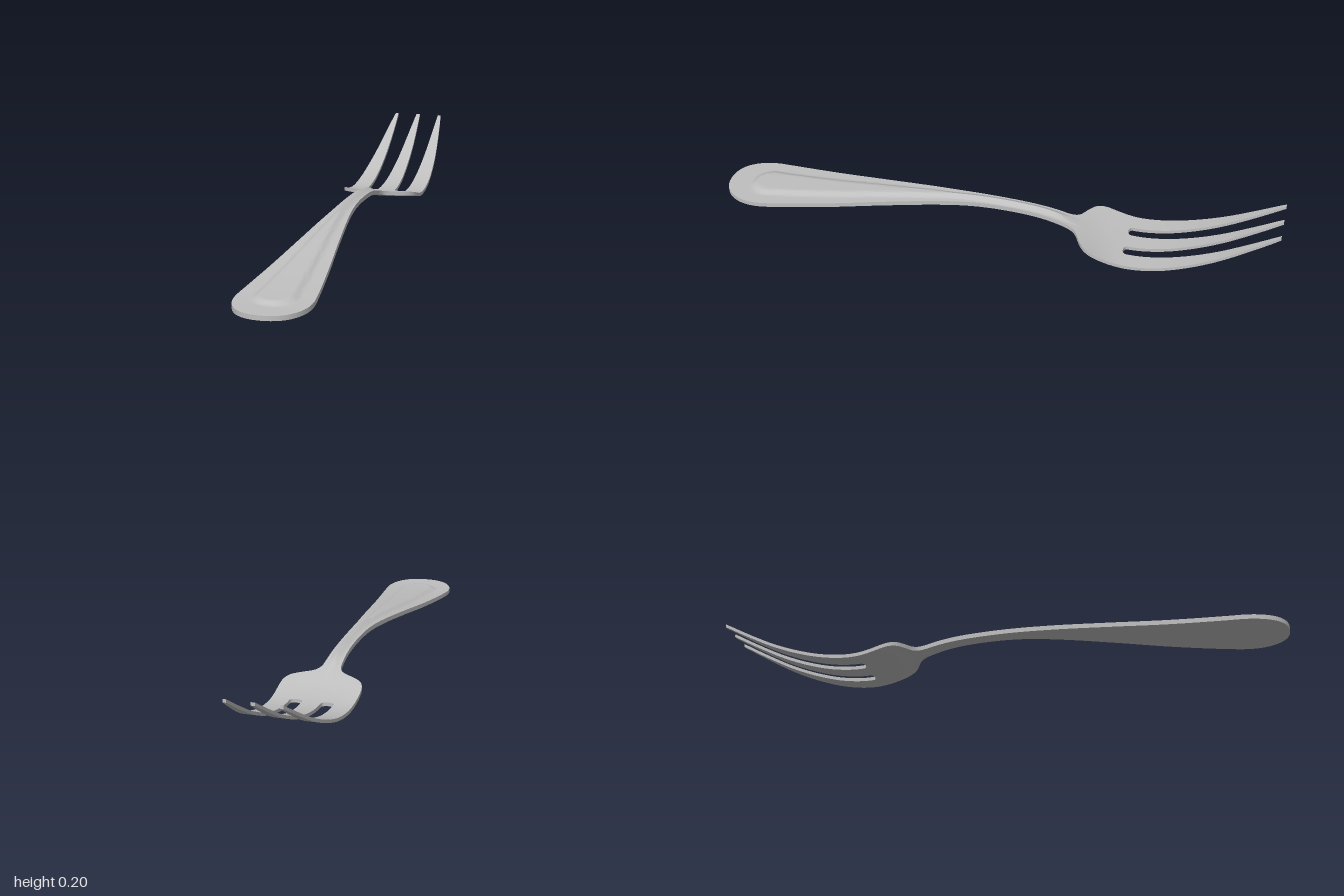
import * as THREE from 'three';
import { toCreasedNormals } from 'three/addons/utils/BufferGeometryUtils.js';

const SLOT_Z = -0.472; // closed end of the slots between the tines

// Smooth interpolation through [position, value] pairs, positions ascending
function interp(table, x) {
  const n = table.length;
  if (x <= table[0][0]) return table[0][1];
  if (x >= table[n - 1][0]) return table[n - 1][1];
  let i = 0;
  while (x > table[i + 1][0]) i++;
  const slope = (k) => {
    const a = table[Math.max(k - 1, 0)], b = table[Math.min(k + 1, n - 1)];
    return (b[1] - a[1]) / (b[0] - a[0]);
  };
  const [x0, y0] = table[i], [x1, y1] = table[i + 1];
  const h = x1 - x0, t = (x - x0) / h, t2 = t * t, t3 = t2 * t;
  return y0 * (2 * t3 - 3 * t2 + 1) + y1 * (3 * t2 - 2 * t3)
    + h * (slope(i) * (t3 - 2 * t2 + t) + slope(i + 1) * (t3 - t2));
}

// Height of the metal's mid-surface along the length
const HEIGHT = [[-1, 0.198], [-0.9, 0.14], [-0.8, 0.087], [-0.7, 0.046], [-0.6, 0.018],
  [-0.5, 0.008], [-0.4, 0.02], [-0.3, 0.051], [-0.2, 0.078], [-0.1, 0.09], [0.05, 0.093],
  [0.2, 0.083], [0.4, 0.06], [0.6, 0.035], [0.8, 0.016], [0.9, 0.011], [1, 0.01]];
const THICKNESS = [[-1, 0.011], [-0.6, 0.012], [-0.35, 0.014], [-0.2, 0.016], [1, 0.016]];

// Raised teardrop on the handle, running into the crown of the neck
function emboss(x, z) {
  const half = THREE.MathUtils.lerp(0.022, 0.075, THREE.MathUtils.clamp((z - 0.15) / 0.695, 0, 1));
  const d = half - Math.hypot(x, Math.max(z - 0.845, 0));
  return 0.011 * THREE.MathUtils.smoothstep(d, 0, 0.026) * THREE.MathUtils.smoothstep(z, -0.34, -0.2);
}

function surface(x, z, side) {
  const bowl = 0.01 * (x / 0.14) ** 2 * Math.exp(-(((z + 0.36) / 0.08) ** 2));
  const lift = emboss(x, z) * (side > 0 ? 1 : 0.5);
  return interp(HEIGHT, z) + bowl + lift + side * interp(THICKNESS, z) / 2;
}

// Closed strip of metal through stations [z, xMin, xMax], ordered from front to back
function strip(stations, columns, capStart, capEnd) {
  const positions = [], index = [], n = 2 * (columns + 1);
  for (const [z, x0, x1] of stations) {
    for (let k = 0; k < n; k++) {
      const top = k <= columns;
      const x = THREE.MathUtils.lerp(x0, x1, (top ? k : n - 1 - k) / columns);
      positions.push(x, surface(x, z, top ? 1 : -1), z);
    }
  }
  for (let i = 0; i < stations.length - 1; i++) {
    for (let k = 0; k < n; k++) {
      const a = i * n + k, b = i * n + (k + 1) % n;
      index.push(a, b, a + n, b, b + n, a + n);
    }
  }
  const last = (stations.length - 1) * n;
  for (let k = 0; k < columns; k++) {
    const a = k, b = k + 1, c = n - 2 - k, d = n - 1 - k;
    if (capStart) index.push(a, c, b, a, d, c);
    if (capEnd) index.push(last + a, last + b, last + c, last + a, last + c, last + d);
  }
  const geometry = new THREE.BufferGeometry();
  geometry.setAttribute('position', new THREE.Float32BufferAttribute(positions, 3));
  geometry.setIndex(index);
  return toCreasedNormals(geometry, 0.7);
}

export function createModel() {
  const group = new THREE.Group();
  const steel = new THREE.MeshStandardMaterial({ color: 0xbfbfbf });
  steel.name = 'steel';
  const add = (name, geometry) => {
    const mesh = new THREE.Mesh(geometry, steel);
    mesh.name = name;
    group.add(mesh);
  };

  // Handle, neck and head: outline as (z, half width)
  const outline = new THREE.SplineCurve([
    [1, 0.004], [0.997, 0.03], [0.985, 0.062], [0.96, 0.091], [0.92, 0.113], [0.87, 0.123],
    [0.8, 0.119], [0.6, 0.094], [0.4, 0.067], [0.2, 0.042], [0.1, 0.032], [0, 0.027],
    [-0.13, 0.026], [-0.23, 0.029], [-0.275, 0.034], [-0.3, 0.051], [-0.32, 0.087],
    [-0.34, 0.117], [-0.365, 0.134], [-0.4, 0.14], [SLOT_Z, 0.139],
  ].map(([z, w]) => new THREE.Vector2(z, w)));
  const body = outline.getPoints(160).map((p) => [p.x, -p.y, p.y]);
  add('handleAndHead', strip(body, 36, true, false));

  // Tines, flaring at the root to round the slot ends
  const MIDDLE = [[-1, 0.007], [-0.98, 0.009], [-0.85, 0.018], [-0.7, 0.025], [-0.6, 0.029], [SLOT_Z, 0.033]];
  const INNER = [[-1, 0.083], [-0.9, 0.08], [-0.7, 0.077], [SLOT_Z, 0.075]];
  const OUTER = [[-1, 0.094], [-0.98, 0.098], [-0.9, 0.109], [-0.8, 0.121], [-0.7, 0.13], [-0.6, 0.136], [SLOT_Z, 0.139]];
  const middle = [], left = [], right = [];
  for (let i = 0; i <= 40; i++) {
    const d = 0.528 * (i / 40) ** 2, z = SLOT_Z - d;
    const u = Math.max(1 - d / 0.013, 0);
    const flare = 0.021 * (1 - Math.sqrt(1 - u * u));
    const m = interp(MIDDLE, z) + flare;
    const inner = interp(INNER, z) - flare, outer = interp(OUTER, z);
    middle.push([z, -m, m]);
    left.push([z, inner, outer]);
    right.push([z, -outer, -inner]);
  }
  add('middleTine', strip(middle, 6, false, true));
  add('leftTine', strip(left, 6, false, true));
  add('rightTine', strip(right, 6, false, true));
  return group;
}
